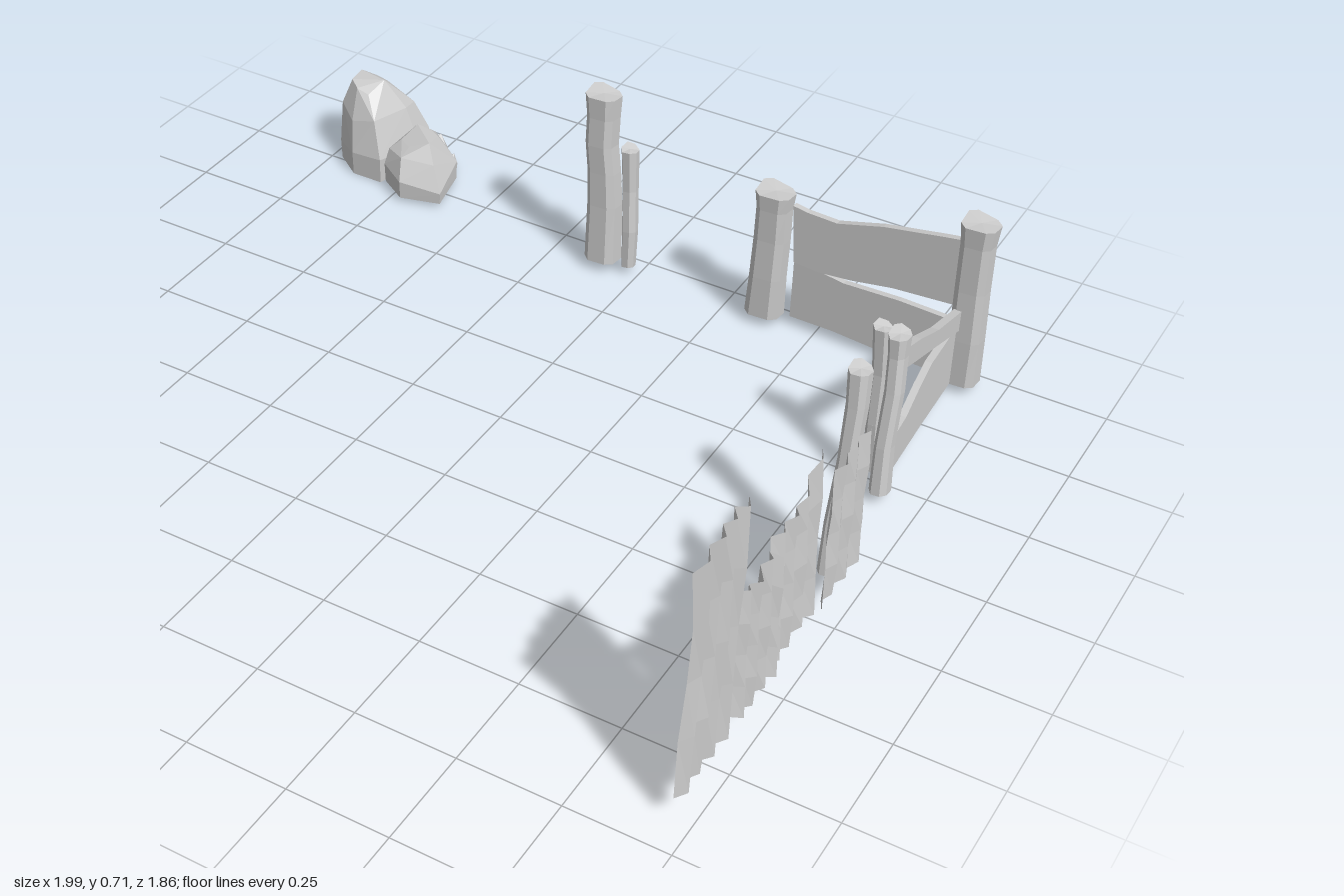
import * as THREE from 'three';
import { ConvexGeometry } from 'three/addons/geometries/ConvexGeometry.js';

const grey = new THREE.MeshStandardMaterial({ color: 0xcccccc, flatShading: true });
const greyDouble = new THREE.MeshStandardMaterial({ color: 0xcccccc, flatShading: true, side: THREE.DoubleSide });

export function createModel() {
  const model = new THREE.Group();
  const add = (name, geometry, material = grey) => {
    const mesh = new THREE.Mesh(geometry, material);
    mesh.name = name;
    model.add(mesh);
  };

  // Log lofted through rows of [y, centre x, centre z, half width x, half width z]; square < 1 squares it off
  const log = (name, rows, sides = 8, square = 0.6) => {
    const n = rows.length - 1;
    const g = new THREE.CylinderGeometry(1, 1, 1, sides, n, false, Math.PI / sides);
    const p = g.attributes.position;
    const c = Math.cos(Math.PI / sides);
    const shape = v => Math.abs(v) < 1e-6 ? 0 : Math.sign(v) * Math.pow(Math.abs(v) / c, square);
    for (let i = 0; i < p.count; i++) {
      const [y, x, z, rx, rz] = rows[Math.round((p.getY(i) + 0.5) * n)];
      const a = shape(p.getX(i)), b = shape(p.getZ(i));
      // slightly slanted, uneven ends
      p.setXYZ(i, x + rx * a, y + 0.006 * a * b - 0.004 * a, z + rz * b);
    }
    g.computeVertexNormals();
    add(name, g);
  };

  // Board outlined in (u, y), extruded, and sheared so that its centre plane runs from w0 to w1
  const board = (name, outline, axis, w0, w1, thickness) => {
    const shape = new THREE.Shape(outline.map(([u, y]) => new THREE.Vector2(u, y)));
    const g = new THREE.ExtrudeGeometry(shape, { depth: thickness, bevelEnabled: false });
    const us = outline.map(q => q[0]);
    const lo = Math.min(...us), hi = Math.max(...us);
    const p = g.attributes.position;
    for (let i = 0; i < p.count; i++) {
      const u = p.getX(i), y = p.getY(i), w = p.getZ(i) - thickness / 2;
      const mid = w0 + (w1 - w0) * (u - lo) / (hi - lo);
      if (axis === 'x') p.setXYZ(i, u, y, mid + w);
      else p.setXYZ(i, mid - w, y, u);
    }
    g.computeVertexNormals();
    add(name, g);
  };

  // Corrugated sheet: columns along z with their own top and bottom heights
  const sheet = (name, zFrom, zTo, xBottom, xTop, amp, tops, bottoms, kink = 0) => {
    const n = tops.length - 1, rows = 4;
    const g = new THREE.PlaneGeometry(1, 1, n, rows);
    const p = g.attributes.position;
    for (let i = 0; i < p.count; i++) {
      const col = Math.round((p.getX(i) + 0.5) * n);
      const t = p.getY(i) + 0.5;
      const z = zFrom + (zTo - zFrom) * col / n;
      const y = bottoms[col % bottoms.length] * (1 - t) + tops[col] * t;
      const x = xBottom + (xTop - xBottom) * t + (col % 2 ? amp : -amp) + 0.003 * Math.sin(t * 9 + col);
      p.setXYZ(i, x, y, z + kink * Math.cos(t * 5) * (col / n));
    }
    g.computeVertexNormals();
    add(name, g, greyDouble);
  };

  // Rock as the hull of one footprint repeated at several [height, scale, shift x, shift z]
  const rock = (name, footprint, levels) => {
    const cx = footprint.reduce((s, q) => s + q[0], 0) / footprint.length;
    const cz = footprint.reduce((s, q) => s + q[1], 0) / footprint.length;
    const points = [];
    levels.forEach(([y, s, dx, dz], k) => footprint.forEach(([x, z], i) => {
      const wobble = k ? 0.012 * Math.sin(i * 2.3 + k * 1.7) : 0;
      points.push(new THREE.Vector3(cx + (x - cx) * s + dx, y + wobble, cz + (z - cz) * s + dz));
    }));
    add(name, new ConvexGeometry(points));
  };

  // Free-standing post and its stake
  log('lonePost', [
    [0.032, -0.103, -0.686, 0.042, 0.039], [0.2, -0.103, -0.688, 0.04, 0.035],
    [0.3, -0.107, -0.687, 0.038, 0.034], [0.38, -0.114, -0.685, 0.037, 0.034],
    [0.46, -0.113, -0.688, 0.037, 0.035], [0.52, -0.114, -0.688, 0.041, 0.037]]);
  log('loneStake', [
    [0.027, -0.031, -0.692, 0.016, 0.02], [0.14, -0.029, -0.69, 0.018, 0.022],
    [0.26, -0.034, -0.694, 0.018, 0.022], [0.38, -0.036, -0.69, 0.02, 0.024]], 7, 0.9);

  // Fence posts
  log('fenceEndPost', [
    [0.032, 0.363, -0.688, 0.045, 0.038], [0.15, 0.367, -0.686, 0.042, 0.035],
    [0.26, 0.369, -0.69, 0.041, 0.035], [0.35, 0.37, -0.69, 0.04, 0.036], [0.394, 0.37, -0.69, 0.045, 0.039]]);
  log('fenceCornerPost', [
    [0.03, 0.897, -0.688, 0.041, 0.038], [0.16, 0.899, -0.686, 0.039, 0.035],
    [0.3, 0.896, -0.69, 0.038, 0.035], [0.43, 0.896, -0.69, 0.038, 0.035], [0.485, 0.897, -0.69, 0.043, 0.039]]);

  // Boards between the posts
  board('lowerRearBoard', [
    [0.43, 0.032], [0.55, 0.036], [0.7, 0.03], [0.88, 0.032], [0.88, 0.2],
    [0.72, 0.2], [0.57, 0.19], [0.48, 0.2], [0.43, 0.197]], 'x', -0.704, -0.678, 0.016);
  board('upperRearBoard', [
    [0.432, 0.205], [0.5, 0.2], [0.59, 0.21], [0.7, 0.23], [0.88, 0.245], [0.88, 0.435],
    [0.82, 0.425], [0.66, 0.395], [0.54, 0.36], [0.46, 0.362], [0.42, 0.368]], 'x', -0.695, -0.682, 0.016);
  board('lowerSideBoard', [
    [-0.68, 0.03], [-0.45, 0.034], [-0.22, 0.03], [-0.22, 0.125], [-0.28, 0.138],
    [-0.34, 0.143], [-0.42, 0.178], [-0.49, 0.2], [-0.68, 0.2]], 'z', 0.872, 0.89, 0.018);
  board('diagonalSideBoard', [
    [-0.66, 0.188], [-0.5, 0.245], [-0.35, 0.297], [-0.24, 0.337], [-0.24, 0.395],
    [-0.38, 0.345], [-0.5, 0.293], [-0.66, 0.245]], 'z', 0.878, 0.887, 0.02);

  // Stakes at the open end of the side fence
  log('leaningPost', [
    [0.035, 0.903, -0.197, 0.022, 0.03], [0.16, 0.898, -0.208, 0.02, 0.026],
    [0.3, 0.898, -0.232, 0.02, 0.026], [0.39, 0.892, -0.246, 0.02, 0.027], [0.442, 0.89, -0.25, 0.023, 0.031]], 8, 0.8);
  log('innerStake', [
    [0.032, 0.852, -0.262, 0.02, 0.02], [0.17, 0.85, -0.258, 0.019, 0.019],
    [0.31, 0.85, -0.262, 0.019, 0.018], [0.44, 0.846, -0.258, 0.022, 0.022]], 7, 0.9);
  log('sheetStake', [
    [0.045, 0.922, 0.127, 0.021, 0.024], [0.17, 0.92, 0.11, 0.02, 0.025],
    [0.34, 0.928, 0.088, 0.02, 0.026], [0.48, 0.93, 0.072, 0.022, 0.026], [0.565, 0.926, 0.063, 0.024, 0.028]], 8, 0.8);

  // Corrugated sheet wall
  sheet('tallSheet', 0.697, 0.914, 0.968, 0.982, 0.01,
    [0.7, 0.7, 0.71, 0.71, 0.71, 0.71, 0.7, 0.69, 0.67], [0.075], 0.012);
  sheet('tornSheet', 0.495, 0.696, 0.975, 0.972, 0.01,
    [0.38, 0.41, 0.435, 0.445, 0.44, 0.425, 0.428, 0.44, 0.445], [0.08, 0.08, 0.09, 0.09, 0.085, 0.08, 0.085, 0.09, 0.105]);
  sheet('peakedSheet', 0.287, 0.51, 0.964, 0.955, 0.009,
    [0.515, 0.515, 0.48, 0.455, 0.44, 0.445, 0.44, 0.44, 0.44], [0.08, 0.085, 0.09, 0.095, 0.085]);
  sheet('shortSheet', 0.07, 0.29, 0.973, 0.973, 0.007,
    [0.445, 0.445, 0.445, 0.445, 0.445, 0.445, 0.445, 0.445], [0.076]);

  // Rock pile
  rock('largeRock', [
    [-1, -0.83], [-0.985, -0.89], [-0.88, -0.93], [-0.785, -0.915],
    [-0.775, -0.85], [-0.81, -0.705], [-0.9, -0.705], [-0.975, -0.76]],
  [[0.004, 0.98, 0, 0], [0.07, 1, 0, 0], [0.17, 0.8, -0.015, 0], [0.24, 0.4, -0.025, 0.01]]);
  rock('mediumRock', [
    [-0.795, -0.705], [-0.765, -0.82], [-0.7, -0.85], [-0.635, -0.82], [-0.605, -0.685], [-0.715, -0.655]],
  [[0.016, 0.98, 0, 0], [0.06, 1, 0, 0], [0.115, 0.8, -0.015, -0.01], [0.15, 0.5, -0.015, -0.015]]);
  rock('smallRock', [
    [-0.785, -0.87], [-0.77, -0.905], [-0.715, -0.9], [-0.69, -0.865], [-0.72, -0.83], [-0.765, -0.835]],
  [[0.01, 0.9, 0, 0], [0.045, 1, 0, 0], [0.08, 0.55, 0, 0]]);
  rock('pebble', [[-0.705, -0.86], [-0.69, -0.88], [-0.665, -0.87], [-0.665, -0.845], [-0.69, -0.835]],
    [[0.01, 0.9, 0, 0], [0.025, 1, 0, 0], [0.045, 0.6, 0, 0]]);

  return model;
}
